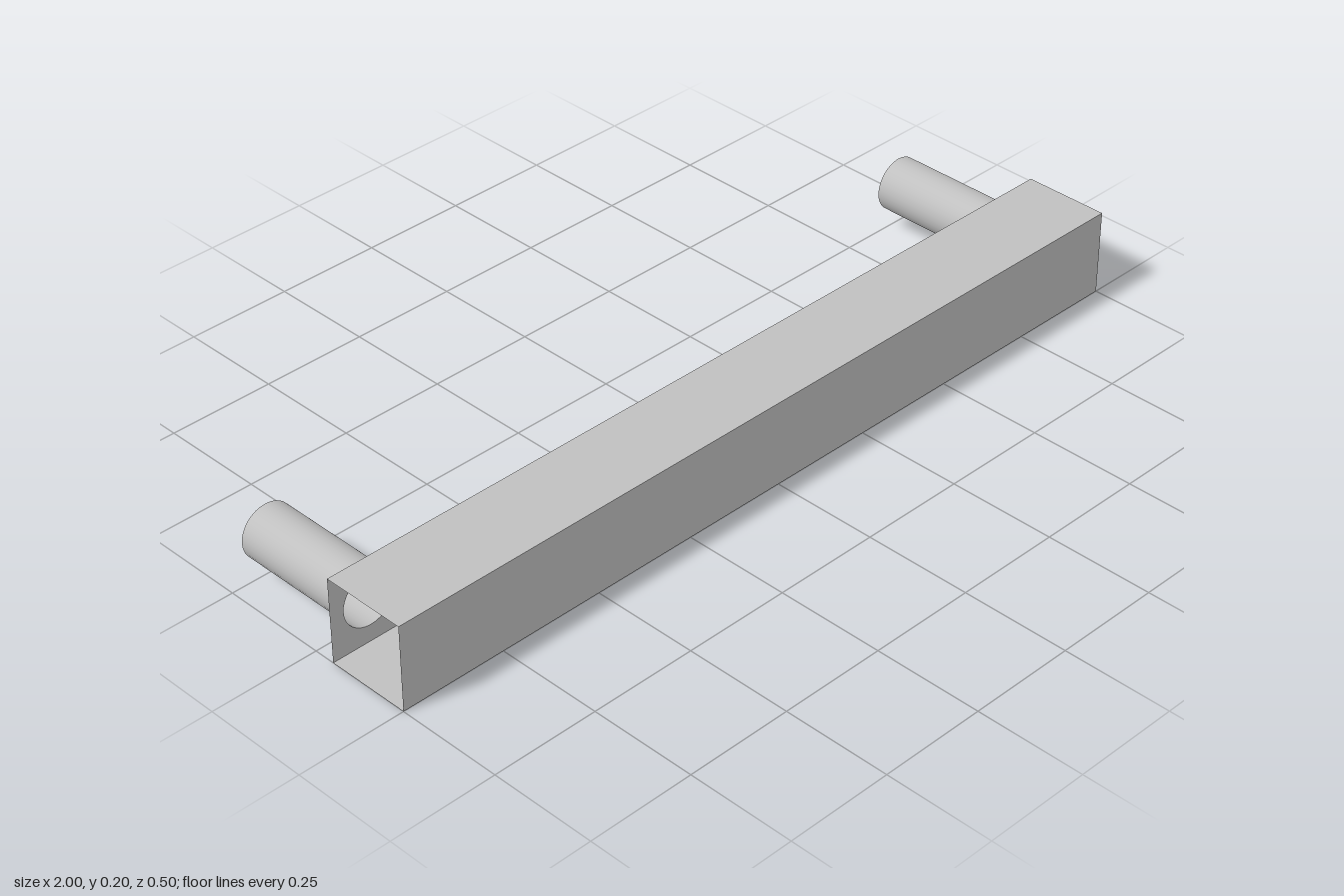
import * as THREE from 'three';

const LENGTH = 2, SIZE = 0.2, BAR_Z = 0.15, MID_Y = 0.1;
const POST_X = 0.904, POST_Y = 0.1015, POST_R = 0.063, POST_LENGTH = 0.3, SIDES = 32;

export function createModel() {
  const model = new THREE.Group();
  model.name = 'barHandle';
  const metal = new THREE.MeshStandardMaterial({ color: 0xc0c0c0, side: THREE.DoubleSide });
  metal.name = 'greyMetal';

  const add = (parent, name, geometry) => {
    const mesh = new THREE.Mesh(geometry, metal);
    mesh.name = name;
    parent.add(mesh);
    return mesh;
  };

  // Hollow square bar, open at both ends
  const bar = new THREE.Group();
  bar.name = 'squareBar';
  bar.position.set(0, MID_Y, BAR_Z);
  model.add(bar);
  const walls = { frontWall: 0, topWall: -Math.PI / 2, bottomWall: Math.PI / 2 };
  for (const [name, angle] of Object.entries(walls)) {
    const wall = new THREE.PlaneGeometry(LENGTH, SIZE);
    wall.translate(0, 0, SIZE / 2).rotateX(angle);
    add(bar, name, wall);
  }

  // Back wall, pierced where the posts enter
  const h = SIZE / 2, l = LENGTH / 2;
  const outline = new THREE.Shape([
    new THREE.Vector2(-l, -h), new THREE.Vector2(l, -h),
    new THREE.Vector2(l, h), new THREE.Vector2(-l, h),
  ]);
  for (const side of [-1, 1]) {
    const hole = new THREE.Path();
    hole.absarc(side * POST_X, POST_Y - MID_Y, POST_R, 0, Math.PI * 2, true);
    outline.holes.push(hole);
  }
  const back = new THREE.ShapeGeometry(outline, SIDES / 2);
  back.rotateY(Math.PI).translate(0, 0, -h);
  add(bar, 'backWall', back);

  // Open round posts behind the bar
  for (const side of [-1, 1]) {
    const tube = new THREE.CylinderGeometry(POST_R, POST_R, POST_LENGTH, SIDES, 1, true);
    tube.rotateX(Math.PI / 2);
    add(model, side > 0 ? 'leftPost' : 'rightPost', tube)
      .position.set(side * POST_X, POST_Y, BAR_Z - h - POST_LENGTH / 2);
  }
  return model;
}
